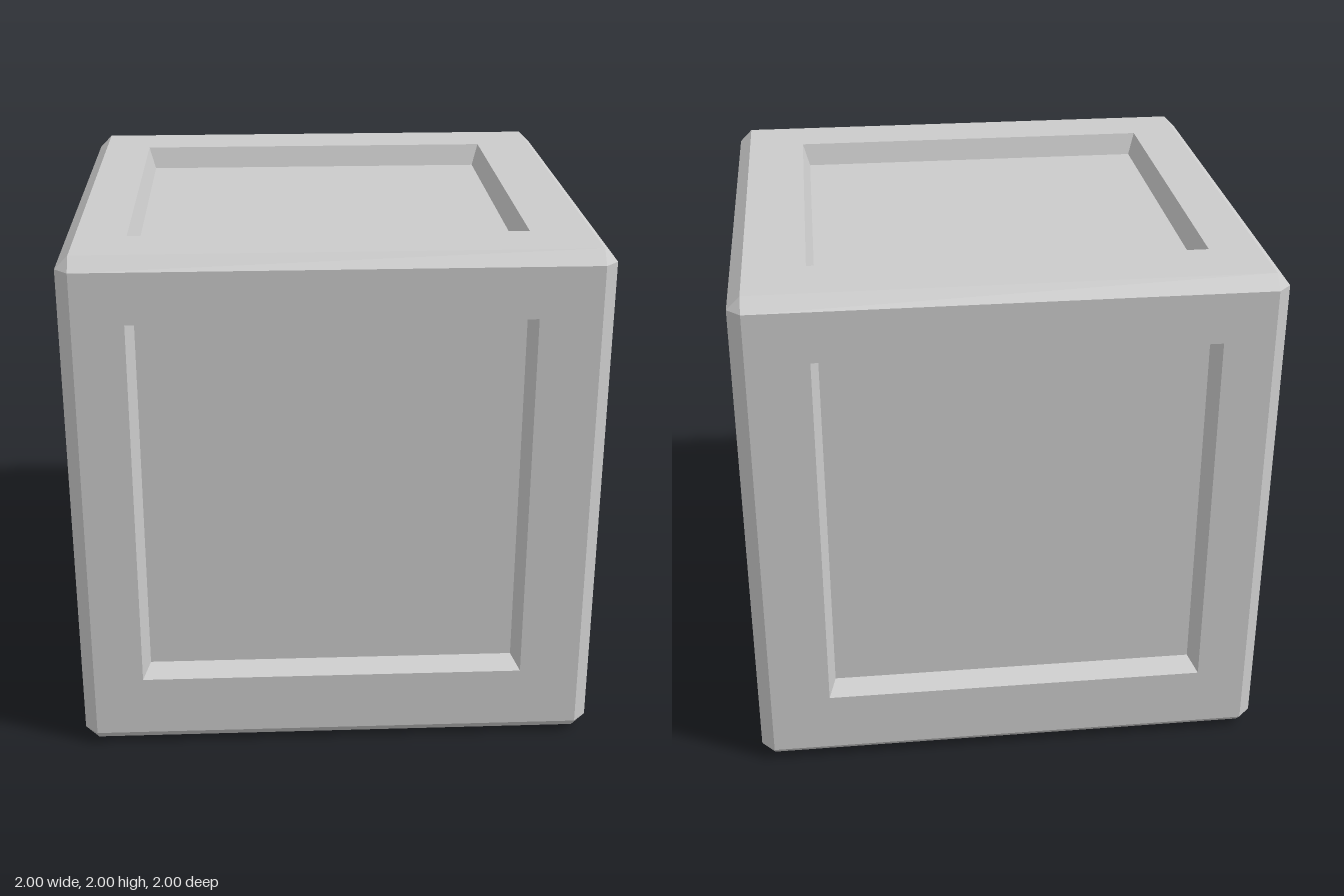
import * as THREE from 'three';

const BEVEL = 0.05, DEPTH = 0.088;
// Recess opening per axis (cube centred on the origin), and its panel inset
const LOW = [-0.76, -0.71, -0.70], HIGH = [0.72, 0.755, 0.715], INSET = 0.027;

// Convex polygon as a triangle fan, wound to face the outward direction
function addPolygon(out, points, outward) {
  const [a, b, c] = points;
  const normal = b.clone().sub(a).cross(c.clone().sub(a));
  const p = normal.dot(outward) < 0 ? [...points].reverse() : points;
  for (let i = 1; i < p.length - 1; i++) {
    for (const q of [p[0], p[i], p[i + 1]]) out.push(q.x, q.y, q.z);
  }
}

function makeMesh(name, positions) {
  const geometry = new THREE.BufferGeometry();
  geometry.setAttribute('position', new THREE.Float32BufferAttribute(positions, 3));
  geometry.computeVertexNormals();
  const mesh = new THREE.Mesh(geometry, new THREE.MeshStandardMaterial({ color: 0xcccccc, flatShading: true }));
  mesh.name = name;
  return mesh;
}

// Point with one coordinate per named axis
function point(n, h, u, a, v, b) {
  const p = new THREE.Vector3();
  return p.setComponent(n, h).setComponent(u, a).setComponent(v, b);
}

// Four corners of a rectangle lying across axis n at height h
function rectangle(n, h, low, high) {
  const u = (n + 1) % 3, v = (n + 2) % 3;
  return [[low[u], low[v]], [high[u], low[v]], [high[u], high[v]], [low[u], high[v]]]
    .map(([a, b]) => point(n, h, u, a, v, b));
}

function bridge(out, ringA, ringB, outward) {
  for (let i = 0; i < 4; i++) {
    const j = (i + 1) % 4;
    addPolygon(out, [ringA[i], ringA[j], ringB[j], ringB[i]], outward);
  }
}

export function createModel() {
  const group = new THREE.Group();
  group.name = 'panelledCube';
  const body = new THREE.Group();
  body.name = 'body';
  body.position.y = 1;
  group.add(body);

  const e = 1 - BEVEL;
  const names = [['rightSide', 'leftSide'], ['bottom', 'top'], ['back', 'front']];
  const bevels = [], corners = [];

  for (let n = 0; n < 3; n++) {
    const u = (n + 1) % 3, v = (n + 2) % 3;
    for (const s of [-1, 1]) {
      const outward = point(n, s, u, 0, v, 0);
      const edge = rectangle(n, s, [-e, -e, -e], [e, e, e]);
      const opening = rectangle(n, s, LOW, HIGH);
      const floor = rectangle(n, s * (1 - DEPTH), LOW.map(k => k + INSET), HIGH.map(k => k - INSET));
      const frame = [], walls = [], panel = [];
      bridge(frame, edge, opening, outward);
      bridge(walls, opening, floor, outward);
      addPolygon(panel, floor, outward);
      const name = names[n][(s + 1) / 2];
      body.add(makeMesh(name + 'Frame', frame), makeMesh(name + 'RecessWalls', walls), makeMesh(name + 'Panel', panel));

      // Bevelled edges running along axis v, and bevelled corners
      for (const t of [-1, 1]) {
        addPolygon(bevels, [
          point(n, s, u, t * e, v, -e), point(n, s, u, t * e, v, e),
          point(n, s * e, u, t, v, e), point(n, s * e, u, t, v, -e),
        ], point(n, s, u, t, v, 0));
        if (n > 0) continue;
        for (const w of [-1, 1]) {
          addPolygon(corners, [
            point(n, s, u, t * e, v, w * e), point(n, s * e, u, t, v, w * e), point(n, s * e, u, t * e, v, w),
          ], point(n, s, u, t, v, w));
        }
      }
    }
  }
  body.add(makeMesh('bevelledEdges', bevels), makeMesh('bevelledCorners', corners));
  return group;
}
